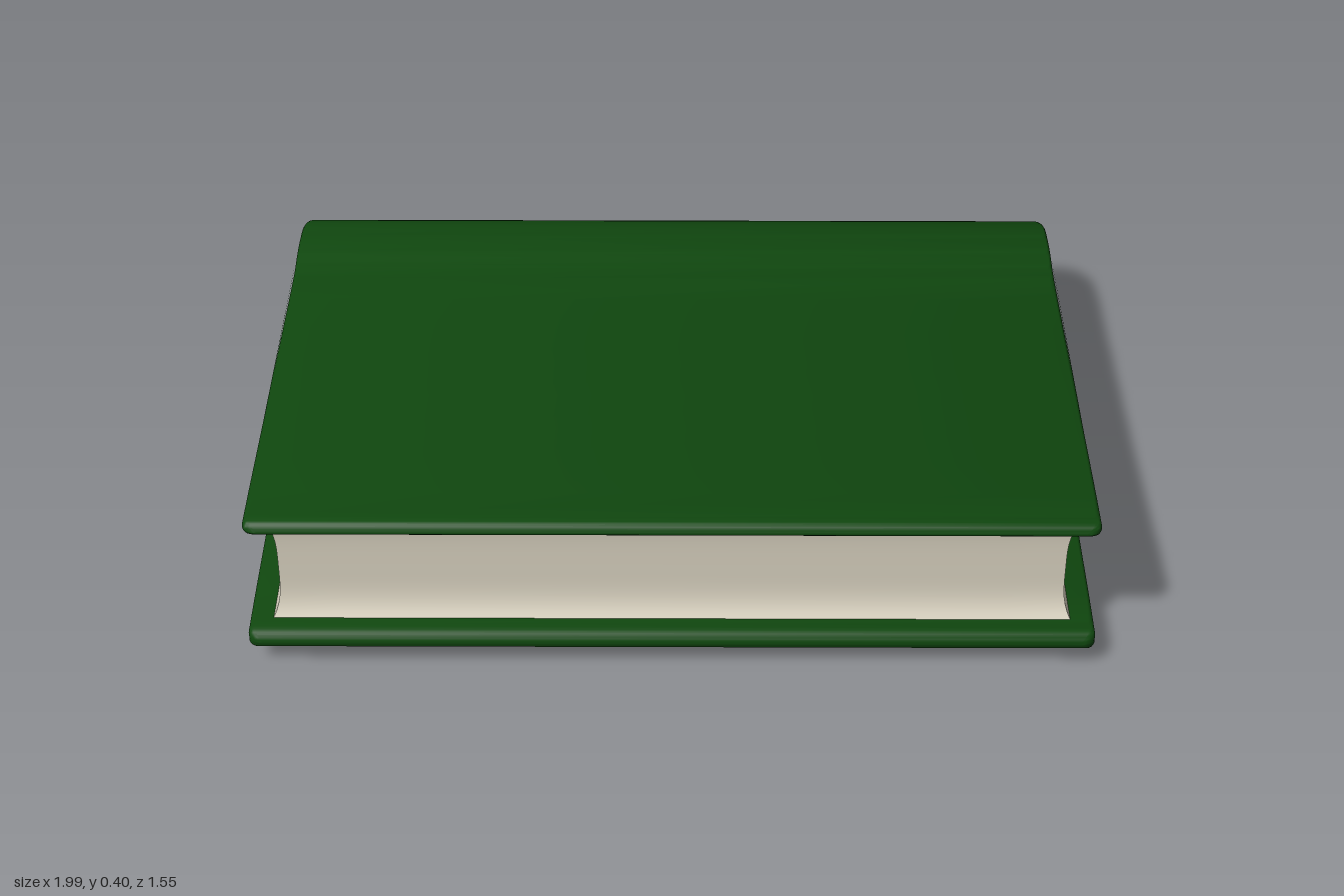
import * as THREE from 'three';
import { toCreasedNormals } from 'three/addons/utils/BufferGeometryUtils.js';

const HALF = 0.995; // half the length of the cover

// Cover cross-section as [z, y]: top board, round spine, bottom board, then back along the inside
const COVER = [
  [0.735, 0.407], [0.70, 0.408], [0.2, 0.376], [-0.36, 0.338], [-0.42, 0.338], [-0.48, 0.344], [-0.56, 0.340],
  [-0.65, 0.322], [-0.72, 0.278], [-0.765, 0.22], [-0.775, 0.18], [-0.755, 0.115], [-0.705, 0.055], [-0.62, 0.017],
  [-0.54, 0.006], [-0.49, 0.006], [-0.465, 0.020], [-0.445, 0.038], [-0.41, 0.042], [0.2, 0.049], [0.72, 0.055],
  [0.765, 0.060], [0.779, 0.083], [0.765, 0.103], [0.72, 0.107], [0.2, 0.098], [-0.58, 0.084], [-0.635, 0.098],
  [-0.66, 0.15], [-0.668, 0.21], [-0.65, 0.27], [-0.60, 0.301], [0.0, 0.334], [0.68, 0.372], [0.73, 0.374], [0.75, 0.390],
];

function makeCover() {
  const curve = new THREE.CatmullRomCurve3(COVER.map(([z, y]) => new THREE.Vector3(-z, y, 0)), true, 'centripetal');
  const shape = new THREE.Shape(curve.getPoints(COVER.length * 4).slice(0, -1).map(p => new THREE.Vector2(p.x, p.y)));
  const bevel = 0.015;
  const geo = new THREE.ExtrudeGeometry(shape, {
    depth: 2 * (HALF - bevel), steps: 1, curveSegments: 1,
    bevelEnabled: true, bevelThickness: bevel, bevelSize: bevel, bevelOffset: -bevel, bevelSegments: 4,
  });
  geo.translate(0, 0, -(HALF - bevel));
  geo.rotateY(Math.PI / 2);
  // Round the board corners and draw in the ends of the spine
  const p = geo.attributes.position;
  const r = 0.03;
  for (let i = 0; i < p.count; i++) {
    const z = p.getZ(i), top = p.getY(i) > 0.22;
    const d = Math.min(r, Math.max(0, z - (top ? 0.751 : 0.78) + r));
    const s = Math.min(1, Math.max(0, (-z - 0.60) / 0.175));
    const inset = r - Math.sqrt(r * r - d * d) + 0.03 * s * s + (top ? 0.006 : 0);
    p.setX(i, p.getX(i) * (1 - inset / HALF));
  }
  return toCreasedNormals(geo, 0.7);
}

// Page block: a wedge whose three open edges are slightly hollow
function makePages() {
  const geo = new THREE.BoxGeometry(2, 2, 2, 12, 14, 12);
  const p = geo.attributes.position;
  for (let i = 0; i < p.count; i++) {
    const u = p.getX(i), v = p.getY(i), w = p.getZ(i);
    const flare = v ** 4;
    const z = w < 0 ? w * 0.665 : w * (0.692 + (v < 0 ? 0.03 : 0.008) * flare);
    const bottom = 0.088 + 0.012 * (z + 0.6) / 1.3;
    const top = 0.306 + 0.072 * (z + 0.6) / 1.3;
    p.setXYZ(i, u * (0.92 + 0.022 * flare), THREE.MathUtils.lerp(bottom, top, (v + 1) / 2), z);
  }
  return toCreasedNormals(geo, 0.7);
}

export function createModel() {
  const green = new THREE.MeshStandardMaterial({ color: 0x10480f });
  green.name = 'dark green cover';
  const cream = new THREE.MeshStandardMaterial({ color: 0xd9d2c0 });
  cream.name = 'cream paper';

  const book = new THREE.Group();
  book.name = 'book';
  const cover = new THREE.Mesh(makeCover(), green);
  cover.name = 'cover';
  const pages = new THREE.Mesh(makePages(), cream);
  pages.name = 'pages';
  book.add(cover, pages);
  return book;
}
